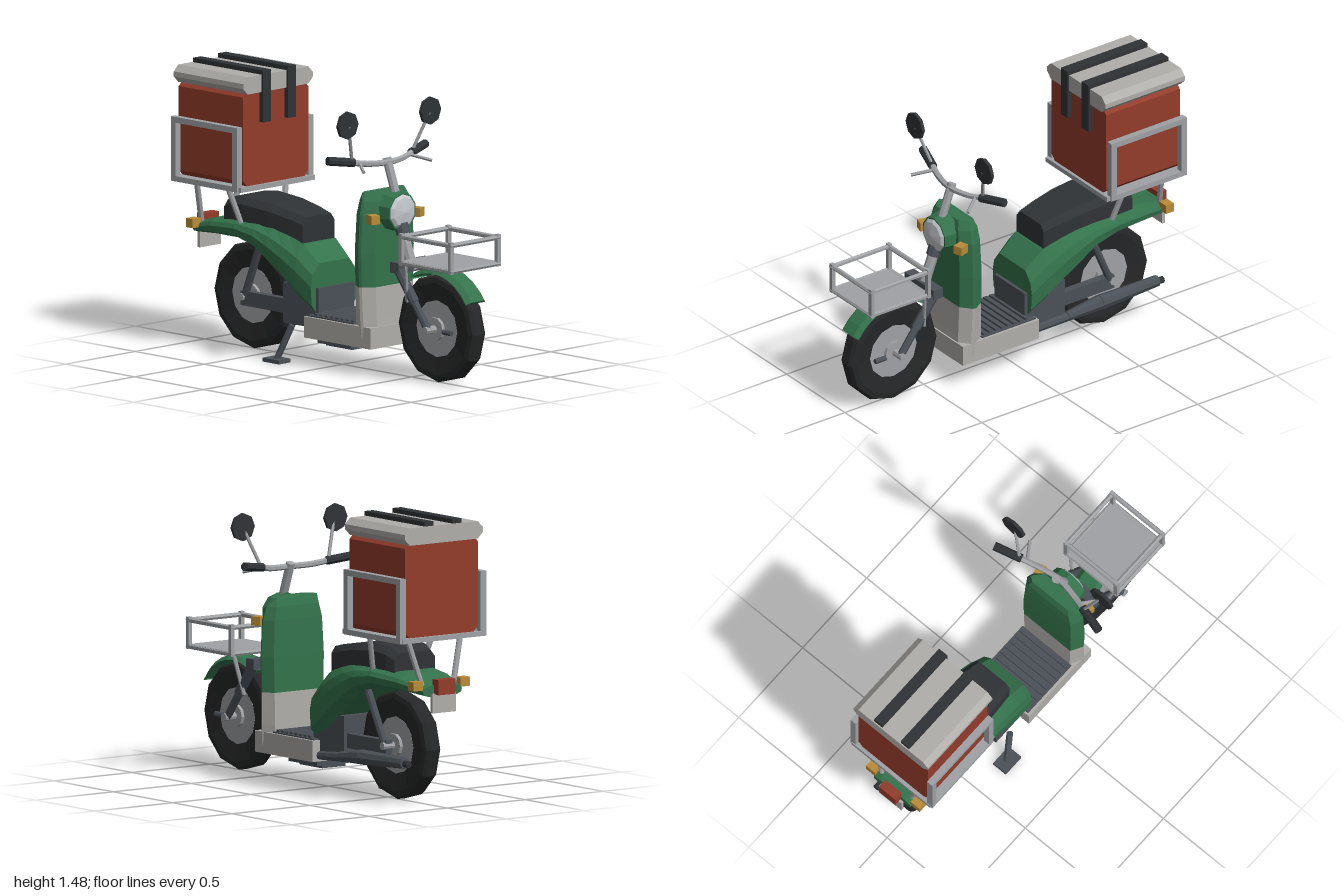
import * as THREE from 'three';

const mat = (color) => new THREE.MeshStandardMaterial({ color, flatShading: true });
const GREEN = mat(0x34734c), RED = mat(0x933c2b), PALE = mat(0xb0aeaa), METAL = mat(0x9fa1a4);
const SLATE = mat(0x4b5158), DARK = mat(0x303336), TYRE = mat(0x262728), AMBER = mat(0xba8c38), LENS = mat(0xc4c8cc);
const V = (x, y, z) => new THREE.Vector3(x, y, z);

export function createModel() {
  const root = new THREE.Group();
  root.name = 'deliveryScooter';

  const add = (name, geo, material, x = 0, y = 0, z = 0) => {
    const m = new THREE.Mesh(geo, material);
    m.name = name;
    m.position.set(x, y, z);
    root.add(m);
    return m;
  };
  // box given by its limits on each axis
  const box = (name, material, x0, x1, y0, y1, z0, z1) =>
    add(name, new THREE.BoxGeometry(x1 - x0, y1 - y0, z1 - z0), material, (x0 + x1) / 2, (y0 + y1) / 2, (z0 + z1) / 2);
  // straight rod between two points
  const rod = (name, material, a, b, r0, r1 = r0, sides = 8) => {
    const d = b.clone().sub(a);
    const m = add(name, new THREE.CylinderGeometry(r1, r0, d.length(), sides), material);
    m.position.copy(a).add(b).multiplyScalar(0.5);
    m.quaternion.setFromUnitVectors(V(0, 1, 0), d.normalize());
    return m;
  };
  // closed skin over equal-length rings of points
  const loft = (name, material, rings) => {
    const n = rings[0].length, last = (rings.length - 1) * n, p = rings.flat(), idx = [];
    for (let i = 0; i < rings.length - 1; i++)
      for (let j = 0; j < n; j++) {
        const a = i * n + j, b = i * n + (j + 1) % n;
        idx.push(a, b, b + n, a, b + n, a + n);
      }
    for (let j = 1; j < n - 1; j++) idx.push(0, j + 1, j, last, last + j, last + j + 1);
    let vol = 0;
    for (let i = 0; i < idx.length; i += 3) vol += p[idx[i]].dot(p[idx[i + 1]].clone().cross(p[idx[i + 2]]));
    if (vol < 0) idx.reverse();
    const g = new THREE.BufferGeometry().setFromPoints(p);
    g.setIndex(idx);
    const flat = g.toNonIndexed();
    flat.computeVertexNormals();
    return add(name, flat, material);
  };
  // chamfered rectangle in x/y, run along z
  const chamferBar = (name, material, w, y0, y1, z0, z1, c) =>
    loft(name, material, [z0, z1].map((z) => [[-w + c, y0], [w - c, y0], [w, y0 + c], [w, y1 - c],
      [w - c, y1], [-w + c, y1], [-w, y1 - c], [-w, y0 + c]].map(([x, y]) => V(x, y, z))));
  const sides = (fn) => [1, -1].forEach(fn);

  // wheels
  const tyreProfile = [[0.14, -0.035], [0.24, -0.05], [0.268, -0.045], [0.28, -0.025], [0.28, 0.025],
    [0.268, 0.045], [0.24, 0.05], [0.14, 0.035]].map(([r, y]) => new THREE.Vector2(r, y));
  const wheel = (name, z) => {
    const parts = [[name + 'Tyre', new THREE.LatheGeometry(tyreProfile, 12), TYRE],
      [name + 'Rim', new THREE.CylinderGeometry(0.148, 0.148, 0.074, 12), METAL],
      [name + 'Hub', new THREE.CylinderGeometry(0.06, 0.06, 0.11, 10), METAL],
      [name + 'Axle', new THREE.CylinderGeometry(0.02, 0.02, 0.25, 8), METAL]];
    parts.forEach(([n, g, m]) => { add(n, g, m, 0, 0.29, z).rotation.z = Math.PI / 2; });
  };
  wheel('frontWheel', 0.72);
  wheel('rearWheel', -0.615);

  // front mudguard
  const guard = [];
  for (let i = 0; i <= 8; i++) {
    const a = THREE.MathUtils.degToRad(33 + i * 11.5);
    guard.push([[-0.07, 0.29], [-0.045, 0.312], [0.045, 0.312], [0.07, 0.29], [0.045, 0.298], [-0.045, 0.298]]
      .map(([x, r]) => V(x, 0.29 + r * Math.sin(a), 0.72 + r * Math.cos(a))));
  }
  loft('frontMudguard', GREEN, guard);

  // fork and steering column
  sides((s) => {
    rod('forkLeg', SLATE, V(s * 0.1, 0.29, 0.72), V(s * 0.1, 0.6, 0.49), 0.02);
    rod('forkSleeve', SLATE, V(s * 0.1, 0.42, 0.624), V(s * 0.1, 0.6, 0.49), 0.026);
    rod('forkLink', SLATE, V(s * 0.07, 0.287, 0.8), V(s * 0.07, 0.287, 0.86), 0.014);
  });
  box('forkCrown', SLATE, -0.125, 0.125, 0.56, 0.615, 0.47, 0.53);
  rod('steeringColumn', METAL, V(0, 0.56, 0.51), V(0, 0.77, 0.43), 0.028);
  rod('columnCollar', SLATE, V(0, 0.74, 0.442), V(0, 0.79, 0.423), 0.036);
  rod('handlebarStem', METAL, V(0, 0.9, 0.4), V(0, 1.12, 0.32), 0.023);

  // handlebar, grips, levers and mirrors
  const barPath = new THREE.CatmullRomCurve3([V(-0.22, 1.12, 0.285), V(-0.14, 1.105, 0.31), V(0, 1.1, 0.335),
    V(0.14, 1.105, 0.31), V(0.22, 1.12, 0.285)]);
  add('handlebar', new THREE.TubeGeometry(barPath, 10, 0.016, 6), METAL);
  sides((s) => {
    rod('grip', DARK, V(s * 0.205, 1.117, 0.29), V(s * 0.352, 1.138, 0.245), 0.023);
    rod('brakeLever', METAL, V(s * 0.18, 1.112, 0.305), V(s * 0.245, 1.085, 0.4), 0.009, 0.009, 6);
    rod('mirrorStem', METAL, V(s * 0.215, 1.12, 0.285), V(s * 0.29, 1.32, 0.337), 0.009, 0.009, 6);
    rod('mirror', DARK, V(s * 0.297, 1.328, 0.325), V(s * 0.297, 1.328, 0.343), 0.072);
  });

  // leg shield: pale foot below, green above
  const shieldRing = ([y, w, zb, zf]) => [[0.68, zf], [0.97, zf - 0.045], [1, zf - 0.06], [0.82, zb], [-0.82, zb],
    [-1, zf - 0.06], [-0.97, zf - 0.045], [-0.68, zf]].map(([k, z]) => V(k * w, y, z));
  loft('legShieldFoot', PALE, [[0.2, 0.182, 0.25, 0.38], [0.3, 0.186, 0.25, 0.375], [0.47, 0.19, 0.25, 0.37]].map(shieldRing));
  loft('legShield', GREEN, [[0.47, 0.19, 0.25, 0.37], [0.65, 0.195, 0.25, 0.37], [0.84, 0.185, 0.255, 0.37],
    [0.91, 0.165, 0.26, 0.365], [0.955, 0.145, 0.275, 0.35]].map(shieldRing));

  // headlight and front indicators
  rod('headlightHousing', GREEN, V(0, 0.855, 0.35), V(0, 0.855, 0.435), 0.11, 0.098, 10);
  rod('headlightLens', LENS, V(0, 0.855, 0.435), V(0, 0.855, 0.447), 0.09, 0.075, 10);
  rod('headlightDome', LENS, V(0, 0.855, 0.447), V(0, 0.855, 0.458), 0.075, 0.005, 10);
  sides((s) => {
    add('frontIndicator', new THREE.BoxGeometry(0.05, 0.046, 0.055), AMBER, s * 0.159, 0.828, 0.382).rotation.y = s * 0.3;
  });

  // front basket
  box('basketTray', METAL, -0.175, 0.175, 0.63, 0.642, 0.59, 0.96);
  [0.632, 0.768].forEach((y) => {
    sides((s) => rod('basketSideRail', METAL, V(s * 0.168, y, 0.585), V(s * 0.168, y, 0.965), 0.013, 0.013, 6));
    [0.597, 0.955].forEach((z) => rod('basketCrossRail', METAL, V(-0.18, y, z), V(0.18, y, z), 0.013, 0.013, 6));
  });
  sides((s) => {
    [0.597, 0.955].forEach((z) => box('basketPost', METAL, s * 0.168 - 0.012, s * 0.168 + 0.012, 0.62, 0.785, z - 0.01, z + 0.01));
    rod('basketStay', METAL, V(s * 0.15, 0.63, 0.605), V(s * 0.105, 0.42, 0.575), 0.011, 0.011, 6);
  });

  // footboard
  box('footboard', PALE, -0.18, 0.18, 0.155, 0.265, -0.1, 0.385);
  box('footboardMat', SLATE, -0.165, 0.165, 0.262, 0.272, -0.09, 0.25);
  for (let i = 0; i < 8; i++) box('matRib', SLATE, -0.155, 0.155, 0.27, 0.283, -0.05 + i * 0.038, -0.03 + i * 0.038);
  box('underTray', SLATE, -0.12, 0.12, 0.125, 0.16, -0.06, 0.18);
  box('sump', SLATE, -0.075, 0.075, 0.108, 0.13, -0.045, 0.145);

  // rear body: z, half width, top, bottom
  const bodyRing = ([z, w, top, bot]) => {
    const h = top - bot;
    return [[0.65, top], [0.93, top - 0.22 * h], [1, top - 0.45 * h], [0.96, bot + 0.2 * h], [0.7, bot],
      [-0.7, bot], [-0.96, bot + 0.2 * h], [-1, top - 0.45 * h], [-0.93, top - 0.22 * h], [-0.65, top]]
      .map(([k, y]) => V(k * w, y, z));
  };
  loft('rearBody', GREEN, [[-0.062, 0.168, 0.535, 0.27], [-0.165, 0.182, 0.62, 0.335], [-0.26, 0.19, 0.66, 0.41],
    [-0.36, 0.197, 0.69, 0.485], [-0.46, 0.198, 0.7, 0.56], [-0.6, 0.192, 0.702, 0.6], [-0.8, 0.165, 0.68, 0.595],
    [-0.96, 0.125, 0.635, 0.58]].map(bodyRing));

  // seat
  loft('seat', DARK, [[-0.175, 0.115, 0.755, 0.62], [-0.26, 0.128, 0.775, 0.64], [-0.4, 0.143, 0.8, 0.67],
    [-0.58, 0.15, 0.814, 0.69], [-0.67, 0.145, 0.805, 0.69], [-0.728, 0.13, 0.78, 0.68]].map(([z, w, t, b]) =>
    [[0.78, t], [1, t - 0.035], [1, b], [-1, b], [-1, t - 0.035], [-0.78, t]].map(([k, y]) => V(k * w, y, z))));

  // engine, swingarm and shock absorbers
  box('engine', SLATE, -0.13, 0.13, 0.2, 0.41, -0.3, -0.045);
  sides((s) => {
    box('swingarm', SLATE, s * 0.09 - 0.02, s * 0.09 + 0.02, 0.245, 0.32, -0.63, -0.28);
    rod('rearShock', SLATE, V(s * 0.1, 0.3, -0.605), V(s * 0.12, 0.62, -0.46), 0.02);
  });

  // exhaust on the left side
  rod('exhaustPipe', SLATE, V(0.13, 0.185, -0.08), V(0.15, 0.205, -0.34), 0.022, 0.026);
  rod('mufflerCone', SLATE, V(0.15, 0.205, -0.3), V(0.16, 0.225, -0.5), 0.026, 0.04);
  rod('muffler', SLATE, V(0.16, 0.225, -0.5), V(0.165, 0.235, -0.86), 0.04, 0.03);
  rod('exhaustTip', DARK, V(0.165, 0.23, -0.85), V(0.165, 0.23, -0.895), 0.018);

  // side stand
  rod('standLeg', SLATE, V(-0.15, 0.2, -0.215), V(-0.19, 0.02, -0.285), 0.018);
  box('standFoot', SLATE, -0.235, -0.15, 0.005, 0.025, -0.345, -0.225);

  // tail lights and plate
  box('tailLight', RED, -0.055, 0.055, 0.59, 0.668, -1, -0.95);
  box('rearPlate', PALE, -0.075, 0.075, 0.495, 0.595, -0.975, -0.958);
  sides((s) => box('rearIndicator', AMBER, s * 0.15 - 0.03, s * 0.15 + 0.03, 0.615, 0.662, -0.955, -0.905));

  // cargo carrier
  box('carrierPlate', METAL, -0.265, 0.265, 0.867, 0.892, -0.972, -0.468);
  sides((s) => {
    rod('carrierFrontStrut', METAL, V(s * 0.21, 0.875, -0.622), V(s * 0.15, 0.66, -0.575), 0.015);
    rod('carrierRearStrut', METAL, V(s * 0.17, 0.875, -0.888), V(s * 0.1, 0.63, -0.92), 0.015);
    const x0 = s * 0.258 - 0.018, x1 = s * 0.258 + 0.018;
    [-0.505, -0.95].forEach((z) => box('carrierPost', METAL, x0, x1, 0.867, 1.2, z - 0.017, z + 0.017));
    box('carrierTopRail', METAL, x0, x1, 1.172, 1.202, -0.967, -0.488);
    box('carrierBottomRail', METAL, x0, x1, 0.867, 0.895, -0.967, -0.488);
  });

  // cargo box, lid and straps
  chamferBar('cargoBox', RED, 0.234, 0.89, 1.385, -0.952, -0.485, 0.03);
  chamferBar('cargoLid', PALE, 0.25, 1.372, 1.462, -0.972, -0.468, 0.032);
  sides((s) => {
    box('strapTop', DARK, s * 0.09 - 0.028, s * 0.09 + 0.028, 1.458, 1.485, -0.965, -0.457);
    box('strapFront', DARK, s * 0.09 - 0.028, s * 0.09 + 0.028, 1.215, 1.485, -0.487, -0.457);
  });

  return root;
}
